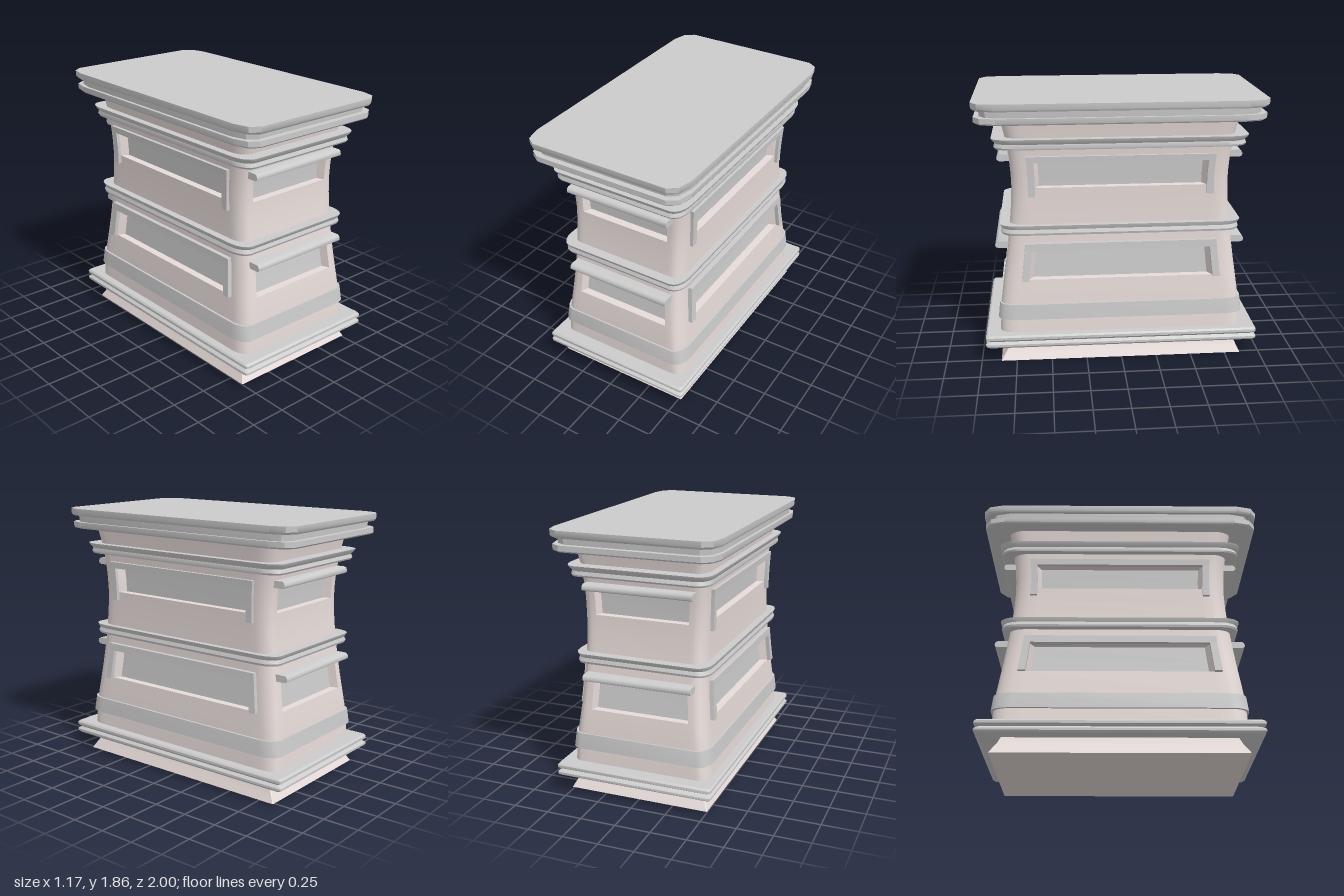
import * as THREE from 'three';
import { toCreasedNormals } from 'three/addons/utils/BufferGeometryUtils.js';

const stone = new THREE.MeshStandardMaterial({ color: 0xe6dbd8 });
const grey = new THREE.MeshStandardMaterial({ color: 0xcccccc });

// Flared wall profile: height, half width, half depth
const WALL = [
  [0.2, 0.505, 0.862], [0.42, 0.488, 0.85], [0.6, 0.468, 0.825], [0.7, 0.459, 0.81],
  [0.815, 0.45, 0.795], [0.93, 0.444, 0.78], [1.05, 0.441, 0.767], [1.15, 0.44, 0.758],
  [1.26, 0.441, 0.753], [1.35, 0.444, 0.755], [1.44, 0.448, 0.762], [1.52, 0.453, 0.772],
  [1.62, 0.464, 0.788], [1.74, 0.482, 0.815],
];
const WINDOWS = [
  { bottom: 0.6, top: 0.815, frameTop: 0.867, frameBottom: 0.597, out: 0.03 },
  { bottom: 1.26, top: 1.44, frameTop: 1.485, frameBottom: 1.2, out: 0.024 },
];
const CX = 0.01; // slight sideways offset of the body
const FX = 0.76, FZ = 0.785; // window half width as a fraction of the wall
const ARC = 6;

function wallAt(y) {
  let i = 0;
  while (i < WALL.length - 2 && y > WALL[i + 1][0]) i++;
  const [a, b] = [WALL[i], WALL[i + 1]];
  const t = (y - a[0]) / (b[0] - a[0]);
  return { hx: a[1] + (b[1] - a[1]) * t, hz: a[2] + (b[2] - a[2]) * t };
}

// Horizontal rounded rectangle; optionally adds the two window jamb points per side
function ring(y, hx, hz, rx, rz, cx, seg, jambs = false) {
  const pts = [];
  const signs = [[1, 1], [-1, 1], [-1, -1], [1, -1]];
  signs.forEach(([sx, sz], q) => {
    for (let i = 0; i <= seg; i++) {
      const a = (q + i / seg) * Math.PI / 2;
      pts.push(new THREE.Vector3(
        cx + sx * (hx - rx) + rx * Math.cos(a), y, sz * (hz - rz) + rz * Math.sin(a)));
    }
    if (!jambs) return;
    for (const e of [1, -1]) {
      pts.push(q % 2 === 0
        ? new THREE.Vector3(cx + sx * e * FX * hx, y, sz * hz)
        : new THREE.Vector3(cx + sx * hx, y, sz * e * FZ * hz));
    }
  });
  return pts;
}

const quad = (out, a, b, c, d) => out.push(a, d, c, a, c, b);

function toMesh(name, points, material, crease = 0.6) {
  const g = new THREE.BufferGeometry().setFromPoints(points);
  const mesh = new THREE.Mesh(toCreasedNormals(g, crease), material);
  mesh.name = name;
  return mesh;
}

// Capped moulding from a profile of [y, half width, half depth]
function moulding(name, profile, { rx = 0.08, rz = 0.13, cx = CX, seg = 4, material = grey } = {}) {
  const rings = profile.map(([y, hx, hz]) => ring(y, hx, hz, rx, rz, cx, seg));
  const out = [], n = rings[0].length;
  for (let k = 0; k < n; k++) {
    const m = (k + 1) % n;
    for (let j = 0; j < rings.length - 1; j++)
      quad(out, rings[j][k], rings[j][m], rings[j + 1][m], rings[j + 1][k]);
    const lo = rings[0], hi = rings[rings.length - 1];
    out.push(new THREE.Vector3(cx, lo[0].y, 0), lo[k], lo[m]);
    out.push(new THREE.Vector3(cx, hi[0].y, 0), hi[m], hi[k]);
  }
  return toMesh(name, out, material);
}

// Body walls with window openings, splayed reveals and recessed panels
function buildBody(group) {
  const rings = WALL.map(([y, hx, hz]) => ring(y, hx, hz, 0.075, 0.11, CX, ARC, true));
  const n = rings[0].length, per = ARC + 3;
  const walls = [], panels = [];
  const isOpen = (k, j) => k % per === ARC + 1 &&
    WINDOWS.some(w => WALL[j][0] >= w.bottom && WALL[j + 1][0] <= w.top);
  for (let k = 0; k < n; k++) {
    const m = (k + 1) % n;
    for (let j = 0; j < rings.length - 1; j++) {
      const [a, b, c, d] = [rings[j][k], rings[j][m], rings[j + 1][m], rings[j + 1][k]];
      if (!isOpen(k, j)) { quad(walls, a, b, c, d); continue; }
      const onZ = Math.floor(k / per) % 2 === 0;
      const inner = p => onZ
        ? new THREE.Vector3(CX + (p.x - CX) * 0.94, p.y, p.z - Math.sign(p.z) * 0.055)
        : new THREE.Vector3(p.x - Math.sign(p.x) * 0.055, p.y, p.z * 0.955);
      const [ai, bi, ci, di] = [a, b, c, d].map(inner);
      quad(walls, a, ai, di, d);
      quad(walls, bi, b, c, ci);
      quad(panels, ai, bi, ci, di);
      if (!isOpen(k, j - 1)) quad(walls, a, b, bi, ai);
      if (!isOpen(k, j + 1)) quad(walls, di, ci, c, d);
    }
  }
  group.add(toMesh('bodyWalls', walls, stone), toMesh('windowPanels', panels, grey));
}

// Box bent to follow a side wall: z is given as fractions of the wall depth
function frameBar(name, side, y0, y1, f0, f1, out) {
  const g = new THREE.BoxGeometry(1, 1, 1, 1, 5, 1);
  const p = g.attributes.position;
  for (let i = 0; i < p.count; i++) {
    const y = y0 + (y1 - y0) * (p.getY(i) + 0.5);
    const { hx, hz } = wallAt(y);
    // keep the box's handedness on both sides
    const u = p.getX(i) * side > 0 ? out : -0.02;
    p.setXYZ(i, CX + side * (hx + u), y, hz * (f0 + (f1 - f0) * (p.getZ(i) + 0.5)));
  }
  const mesh = new THREE.Mesh(toCreasedNormals(g, 0.5), grey);
  mesh.name = name;
  return mesh;
}

// Rounded hood over a front or back window
function hood(w, back) {
  const s = new THREE.Shape();
  [[-0.05, 0], [0.07, 0], [0.086, 0.008], [0.09, 0.022], [0.083, 0.04], [0.07, 0.048], [-0.05, 0.048]]
    .forEach(([z, y], i) => (i ? s.lineTo(z, y) : s.moveTo(z, y)));
  const g = new THREE.ExtrudeGeometry(s, { depth: 0.78, bevelEnabled: false });
  g.translate(0, 0, -0.39);
  g.rotateY(back ? Math.PI / 2 : -Math.PI / 2);
  const z = wallAt(w.top).hz - 0.005;
  g.translate(CX, w.top, back ? -z : z);
  const mesh = new THREE.Mesh(toCreasedNormals(g, 0.8), grey);
  mesh.name = back ? 'backHood' : 'frontHood';
  return mesh;
}

export function createModel() {
  const group = new THREE.Group();
  group.name = 'pedestal';

  // Flared foot and stepped base
  group.add(moulding('foot',
    [[0, 0.508, 0.862], [0.04, 0.488, 0.838], [0.08, 0.468, 0.812], [0.13, 0.452, 0.79]],
    { rx: 0.004, rz: 0.004, seg: 1, material: stone }));
  group.add(moulding('baseMoulding',
    [[0.125, 0.555, 0.945], [0.138, 0.566, 0.963], [0.153, 0.566, 0.963], [0.17, 0.548, 0.935],
      [0.187, 0.566, 0.963], [0.205, 0.566, 0.963], [0.217, 0.556, 0.95]],
    { rx: 0.015, rz: 0.02, seg: 2, cx: 0.013 }));

  buildBody(group);

  // Bands around the body
  group.add(moulding('lowerBand', [[0.315, 0.514, 0.872], [0.425, 0.503, 0.86]]));
  group.add(moulding('middleBand',
    [[0.93, 0.483, 0.827], [0.945, 0.487, 0.833], [0.97, 0.478, 0.825], [0.988, 0.485, 0.838], [1.0, 0.488, 0.842]], { cx: 0.004 }));
  group.add(moulding('upperBand',
    [[1.538, 0.495, 0.855], [1.55, 0.499, 0.862], [1.575, 0.494, 0.853], [1.598, 0.51, 0.872], [1.612, 0.514, 0.877]]));

  // Window frames on the sides, hoods on front and back
  for (const w of WINDOWS) {
    for (const side of [1, -1]) {
      group.add(frameBar('sideLintel', side, w.top, w.frameTop, -0.848, 0.848, w.out));
      for (const [f0, f1] of [[FZ, 0.848], [-0.848, -FZ]])
        group.add(frameBar('sideJamb', side, w.frameBottom, w.top, f0, f1, w.out));
    }
    group.add(hood(w, false), hood(w, true));
  }

  // Stepped top
  const top = { rx: 0.09, rz: 0.15, cx: 0, seg: 2 };
  group.add(moulding('topUnderStep', [[1.72, 0.57, 0.975], [1.73, 0.577, 0.985], [1.766, 0.578, 0.985]], top));
  group.add(moulding('topNeck', [[1.76, 0.556, 0.945], [1.82, 0.56, 0.95]], top));
  group.add(moulding('topSlab', [[1.812, 0.578, 0.988], [1.826, 0.585, 0.998], [1.864, 0.586, 1]], top));
  return group;
}
